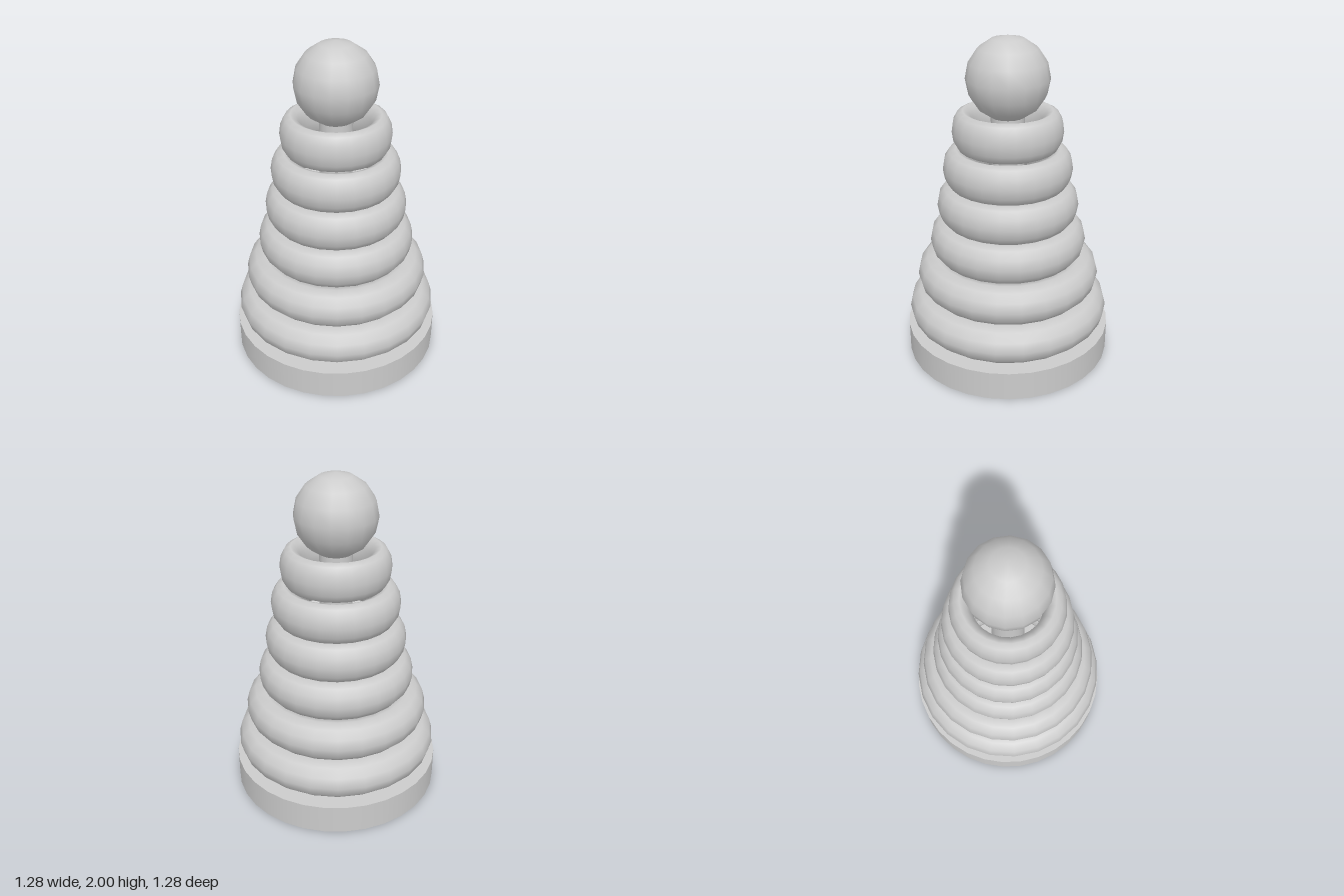
import * as THREE from 'three';

export function createModel() {
  const group = new THREE.Group();
  const material = new THREE.MeshStandardMaterial({ color: 0xcccccc });

  const add = (name, geometry, y) => {
    const mesh = new THREE.Mesh(geometry, material);
    mesh.name = name;
    mesh.position.y = y;
    group.add(mesh);
  };

  // Round base and the post hidden inside the rings
  add('base', new THREE.CylinderGeometry(0.641, 0.641, 0.18, 32), 0.09);
  add('post', new THREE.CylinderGeometry(0.1, 0.1, 1.42, 16), 0.88);

  // Stacked rings: one torus, widened per ring, height kept
  const outerRadii = [0.62, 0.56, 0.475, 0.426, 0.386, 0.327];
  const segments = 24;
  const halfHeight = 0.12;
  outerRadii.forEach((outer, i) => {
    const ring = new THREE.TorusGeometry(0.8, 0.2, 12, segments);
    const width = outer / Math.cos(Math.PI / segments);
    ring.rotateX(Math.PI / 2);
    ring.rotateY(Math.PI / segments);
    ring.scale(width, halfHeight / 0.2, width);
    add(`ring${i + 1}`, ring, 0.303 + i * 0.2294);
  });

  // Ball on top
  add('topBall', new THREE.SphereGeometry(0.246, 16, 8), 1.754);

  return group;
}
